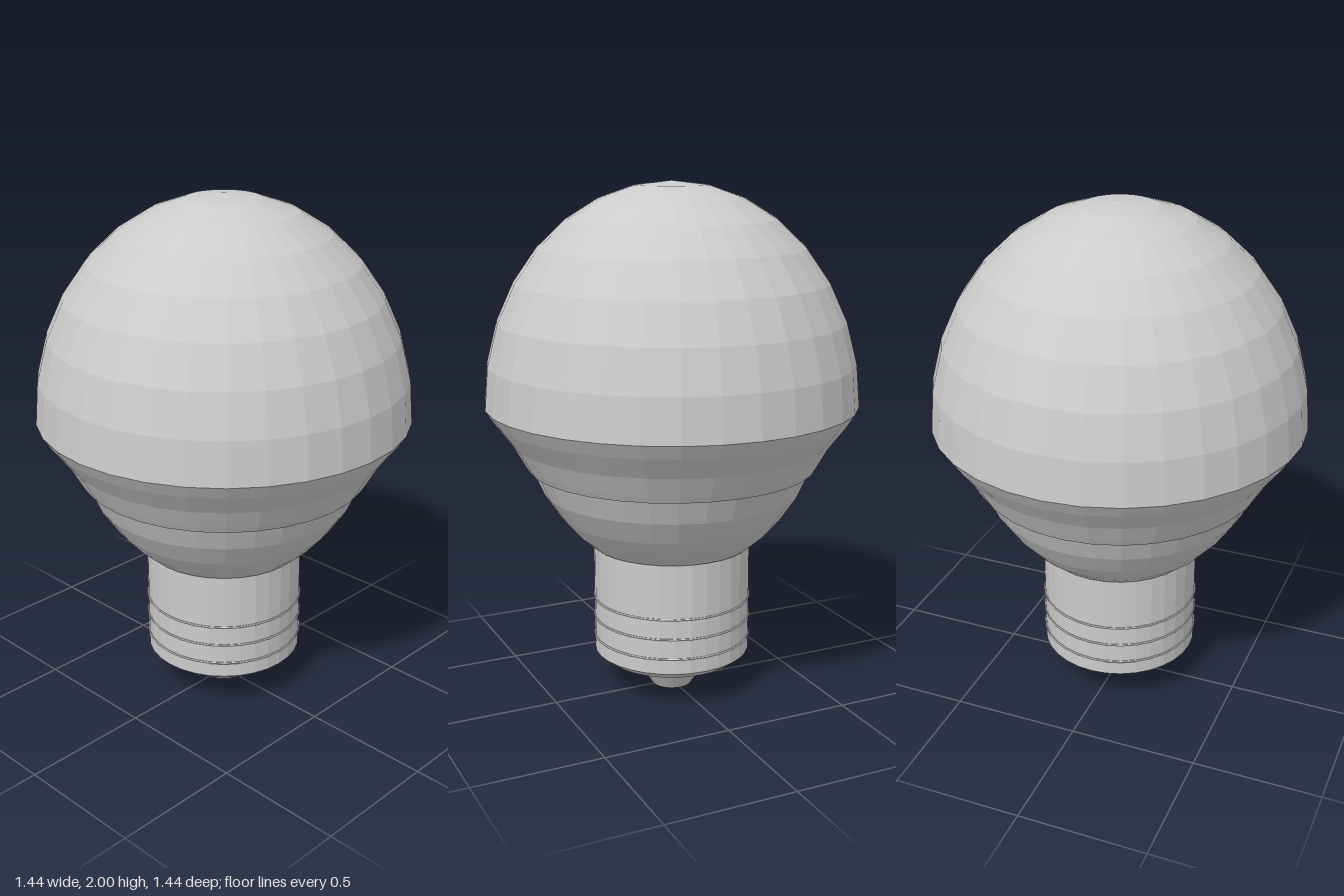
import * as THREE from 'three';

const SIDES = 32;

export function createModel() {
  const bulb = new THREE.Group();
  bulb.name = 'lightBulb';
  const material = new THREE.MeshStandardMaterial({
    color: 0xcccccc, flatShading: true, side: THREE.DoubleSide,
  });

  const add = (name, geometry) => {
    const mesh = new THREE.Mesh(geometry, material);
    mesh.name = name;
    bulb.add(mesh);
    return mesh;
  };
  // Profiles are [radius, height] pairs running from bottom to top
  const turn = (name, profile) => add(name, new THREE.LatheGeometry(
    profile.map(([r, y]) => new THREE.Vector2(r, y)), SIDES));

  // Domed globe: upper half of a stretched sphere
  const dome = [];
  for (let i = 8; i >= 0; i--) {
    const a = (i / 8) * Math.PI / 2;
    dome.push([0.718 * Math.sin(a), 1.16 + 0.84 * Math.cos(a)]);
  }
  turn('globe', dome);

  // Collar tapering below the globe, with a small lip underneath
  turn('collar', [[0.542, 0.915], [0.558, 0.915], [0.573, 0.94], [0.618, 1.02], [0.683, 1.106], [0.718, 1.16]]);

  // Lower bowl narrowing to the neck
  turn('bowl', [[0.3, 0.6], [0.315, 0.6], [0.372, 0.65], [0.438, 0.725], [0.502, 0.82], [0.547, 0.92]]);

  // Screw base with chamfered bottom edge
  turn('base', [[0, 0.13], [0.27, 0.13], [0.308, 0.16], [0.308, 0.6]]);

  // Thread ridges
  for (const y of [0.22, 0.3, 0.38]) {
    const ridge = add('threadRidge', new THREE.TorusGeometry(0.308, 0.005, 6, SIDES));
    ridge.rotation.x = Math.PI / 2;
    ridge.position.y = y;
  }

  // Contact tip
  turn('contactTip', [[0, 0], [0.08, 0], [0.165, 0.13]]);

  return bulb;
}
